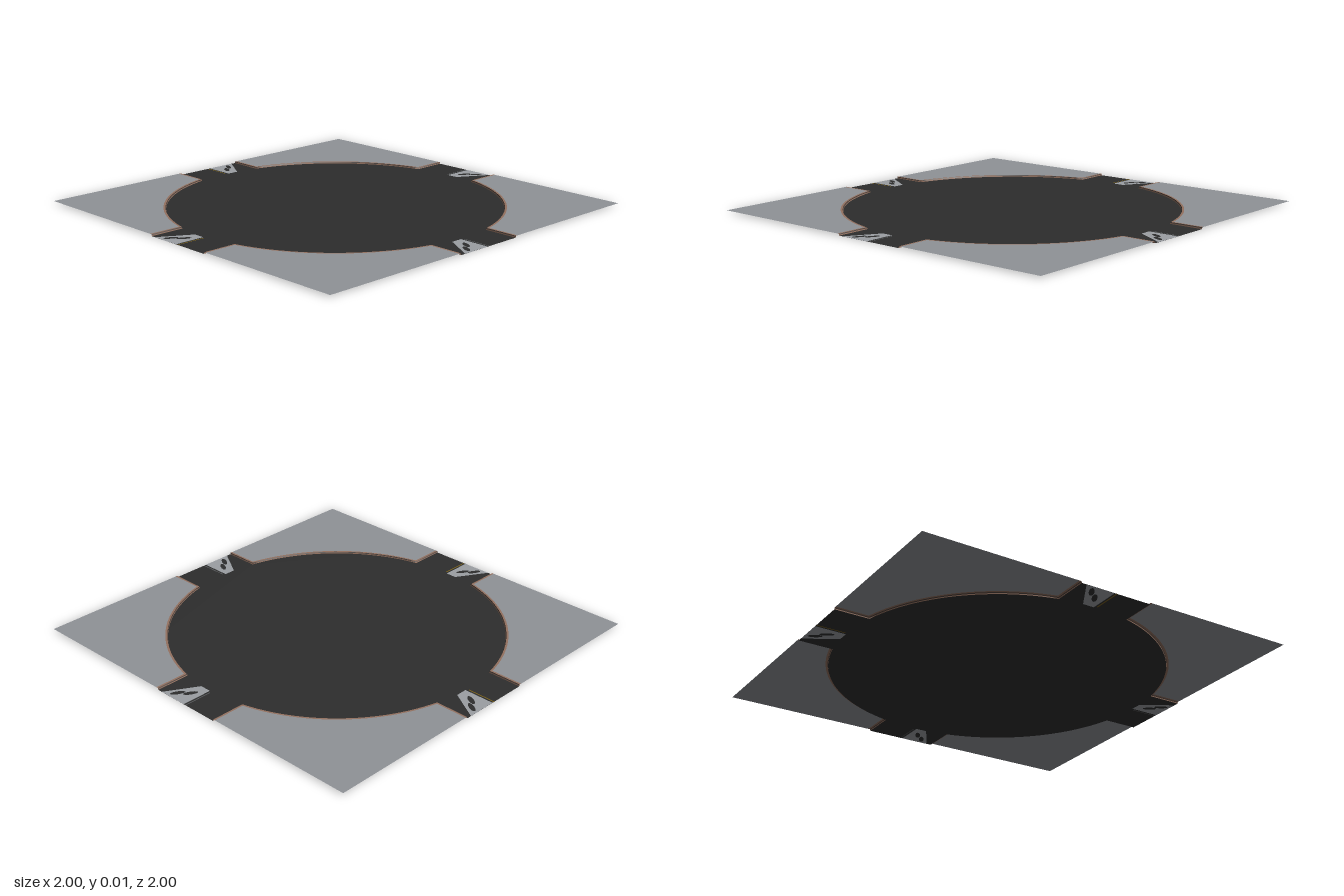
import * as THREE from 'three';

const mat = (name, color) => {
  const m = new THREE.MeshStandardMaterial({ color, side: THREE.DoubleSide });
  m.name = name;
  return m;
};

// Corner outline in plan, moved d away from the road edge
function cornerOutline(d) {
  const w = 0.19 + d, r = 0.842 + d, n = 24;
  const a0 = Math.asin(w / r), a1 = Math.PI / 2 - a0;
  const pts = [new THREE.Vector2(1, w)];
  for (let i = 0; i <= n; i++) {
    const a = a0 + (a1 - a0) * i / n;
    pts.push(new THREE.Vector2(r * Math.cos(a), r * Math.sin(a)));
  }
  pts.push(new THREE.Vector2(w, 1));
  return pts;
}

// Flat sheet from plan points (x, -z)
function sheet(shape, y) {
  return new THREE.ShapeGeometry(shape, 10).rotateX(-Math.PI / 2).translate(0, y, 0);
}

// Ribbon between two offset outlines at given heights
function ribbon(d0, y0, d1, y1) {
  const a = cornerOutline(d0), b = cornerOutline(d1), pos = [], idx = [];
  a.forEach((p, i) => {
    pos.push(p.x, y0, -p.y, b[i].x, y1, -b[i].y);
    if (i) {
      const k = 2 * i;
      idx.push(k - 2, k - 1, k, k, k - 1, k + 1);
    }
  });
  const g = new THREE.BufferGeometry();
  g.setAttribute('position', new THREE.Float32BufferAttribute(pos, 3));
  g.setIndex(idx);
  g.computeVertexNormals();
  return g;
}

// Crossing patch with two slanted oval openings, on the arm towards -z
function crossingShape() {
  const s = new THREE.Shape([[0.01, 0.84], [0.07, 0.84], [0.1, 0.89], [0.165, 1], [0.01, 1]]
    .map(p => new THREE.Vector2(...p)));
  for (const [x, y] of [[0.06, 0.915], [0.105, 0.955]]) {
    const h = new THREE.Path();
    h.absellipse(x, y, 0.036, 0.013, 0, Math.PI * 2, true, 1.05);
    s.holes.push(h);
  }
  return s;
}

export function createModel() {
  const group = new THREE.Group();
  const asphalt = mat('asphalt', 0x2d2d2d);
  const paving = mat('paving', 0x8f9297);
  const paint = mat('greyPaint', 0x9b9ea3);
  const brick = mat('curbBrick', 0x94715f);
  const joint = mat('curbShade', 0x453a35);
  const yellow = mat('yellowPaint', 0x8a6a14);
  const lineGrey = mat('lineGrey', 0x5c5d60);
  const ROAD = 0.0005, TOP = 0.009;

  const add = (parent, name, geo, material) => {
    const m = new THREE.Mesh(geo, material);
    m.name = name;
    parent.add(m);
  };

  // Road: round junction with four arms
  const outline = [];
  for (let q = 0; q < 4; q++) {
    for (const p of cornerOutline(0)) {
      outline.push(p.clone().rotateAround(new THREE.Vector2(), q * Math.PI / 2));
    }
  }
  add(group, 'road', sheet(new THREE.Shape(outline), ROAD), asphalt);

  for (let q = 0; q < 4; q++) {
    const quarter = new THREE.Group();
    quarter.name = 'quarter' + (q + 1);
    quarter.rotation.y = q * Math.PI / 2;
    group.add(quarter);

    // Raised corner pavement
    const corner = new THREE.Shape([...cornerOutline(0.013), new THREE.Vector2(1, 1)]);
    add(quarter, 'pavement', sheet(corner, TOP), paving);

    // Curb: face, shaded edge, top
    add(quarter, 'curbFace', ribbon(0, ROAD, 0.001, 0.005), brick);
    add(quarter, 'curbEdge', ribbon(0.001, 0.005, 0.003, TOP), joint);
    add(quarter, 'curbTop', ribbon(0.003, TOP, 0.013, TOP), brick);

    // Painted markings, shown on both faces of the road sheet
    for (const y of [0, 0.001]) {
      add(quarter, 'crossing', sheet(crossingShape(), y), paint);
      const line = new THREE.PlaneGeometry(0.005, 0.15).rotateX(-Math.PI / 2).translate(-0.002, y, -0.925);
      add(quarter, 'centreLine', line, q === 1 || q === 2 ? yellow : lineGrey);
    }
  }
  return group;
}
